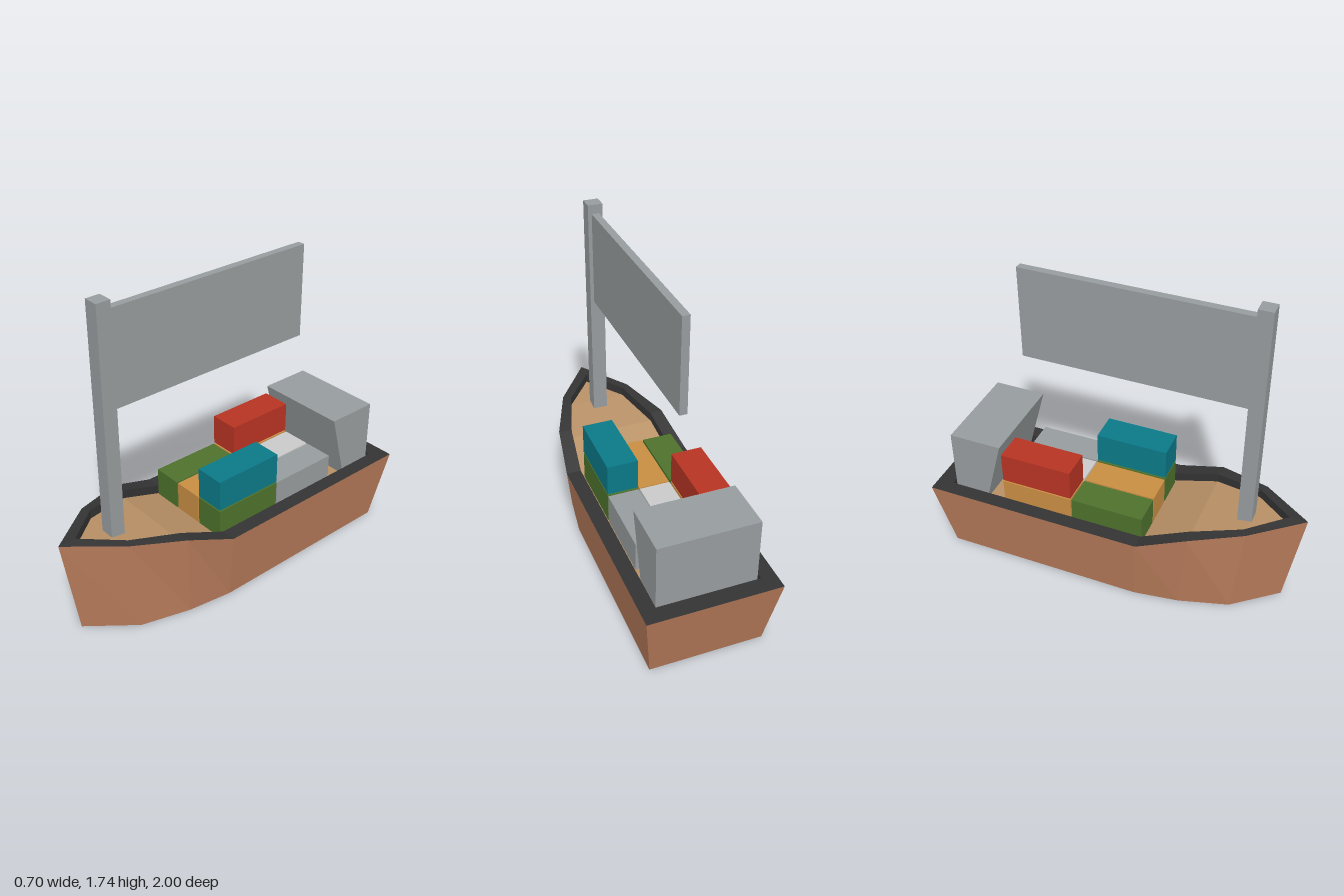
import * as THREE from 'three';

const paint = (name, color) => {
  const m = new THREE.MeshStandardMaterial({ color });
  m.name = name;
  return m;
};

// Starboard half outlines from stern to bow: [x, y, z]
const RIM_Y = [0.4, 0.4, 0.5, 0.54, 0.555];
const half = (xs, zs, ys) => xs.map((x, i) => [x, ys[i], zs[i]]);
const BOTTOM = half([0.3, 0.3, 0.265, 0.19, 0], [-0.915, 0.18, 0.42, 0.68, 0.915], [0, 0, 0, 0, 0]);
const OUTER = half([0.35, 0.35, 0.31, 0.2, 0], [-1, 0.2, 0.46, 0.735, 1], RIM_Y);
const INNER = half([0.27, 0.27, 0.24, 0.16, 0], [-0.91, 0.2, 0.45, 0.71, 0.905], RIM_Y);
const DECK = INNER.map(([x, y, z]) => [x, y - 0.05, z]);

const mirror = (pts) => pts.map(([x, y, z]) => [-x, y, z]);
// Closed loop around the boat
const ring = (pts) => [...pts, ...mirror(pts).reverse().slice(1), pts[0]];

// Band of flat quads between two matching rows of points
function band(a, b) {
  const out = [];
  for (let i = 0; i < a.length - 1; i++) {
    out.push(...a[i], ...b[i], ...b[i + 1], ...a[i], ...b[i + 1], ...a[i + 1]);
  }
  return out;
}

function surface(...bands) {
  const g = new THREE.BufferGeometry();
  g.setAttribute('position', new THREE.Float32BufferAttribute(bands.flat(), 3));
  g.computeVertexNormals();
  return g;
}

export function createModel() {
  const group = new THREE.Group();
  group.name = 'cargoShip';

  const grey = paint('grey', 0x979c9e);
  const hullBrown = paint('hull brown', 0xb87c5b);
  const charcoal = paint('charcoal', 0x343434);
  const tan = paint('deck tan', 0xb89066);
  const red = paint('red', 0xb83423);
  const green = paint('green', 0x4e722c);
  const orange = paint('orange', 0xc98e43);
  const teal = paint('teal', 0x0b7a88);
  const white = paint('light grey', 0xcacaca);

  const add = (name, geometry, material) => {
    const mesh = new THREE.Mesh(geometry, material);
    mesh.name = name;
    group.add(mesh);
    return mesh;
  };
  // Box given by its extents
  const box = (name, material, [x0, x1], [y0, y1], [z0, z1]) => {
    const mesh = add(name, new THREE.BoxGeometry(x1 - x0, y1 - y0, z1 - z0), material);
    mesh.position.set((x0 + x1) / 2, (y0 + y1) / 2, (z0 + z1) / 2);
    return mesh;
  };

  // Hull sides with keel plate, gunwale with inner wall, and deck
  add('hull', surface(band(ring(BOTTOM), ring(OUTER)), band(mirror(BOTTOM), BOTTOM)), hullBrown);
  add('gunwale', surface(band(ring(OUTER), ring(INNER)), band(ring(INNER), ring(DECK))), charcoal);
  add('deck', surface(band(DECK, mirror(DECK))), tan);

  // Bridge with a front leaning forward
  const side = new THREE.Shape([
    [0.89, 0.345], [0.89, 0.735], [0.6, 0.735], [0.705, 0.345],
  ].map(([x, y]) => new THREE.Vector2(x, y)));
  const bridge = add('bridge', new THREE.ExtrudeGeometry(side, { depth: 0.525, bevelEnabled: false }), grey);
  bridge.rotation.y = Math.PI / 2;
  bridge.position.x = -0.263;

  // Cargo containers: columns across, rows fore and aft, two tiers
  const columns = [[-0.263, -0.098], [-0.09, 0.075], [0.083, 0.248]];
  const rows = [[-0.195 + 0.003, 0.203], [-0.593, -0.198]];
  const tiers = [[0.345, 0.512], [0.52, 0.69]];
  [
    [0, 0, 0, green], [1, 0, 0, orange], [2, 0, 0, green],
    [0, 1, 0, orange], [1, 1, 0, white], [2, 1, 0, grey],
    [2, 0, 1, teal], [0, 1, 1, red],
  ].forEach(([c, r, t, material]) => box('container', material, columns[c], tiers[t], rows[r]));

  // Mast and flag
  box('mast', grey, [-0.04, 0.04], [0.48, 1.735], [0.645, 0.722]);
  box('flag', grey, [-0.02, 0.02], [1.178, 1.685], [-0.553, 0.65]);

  return group;
}
